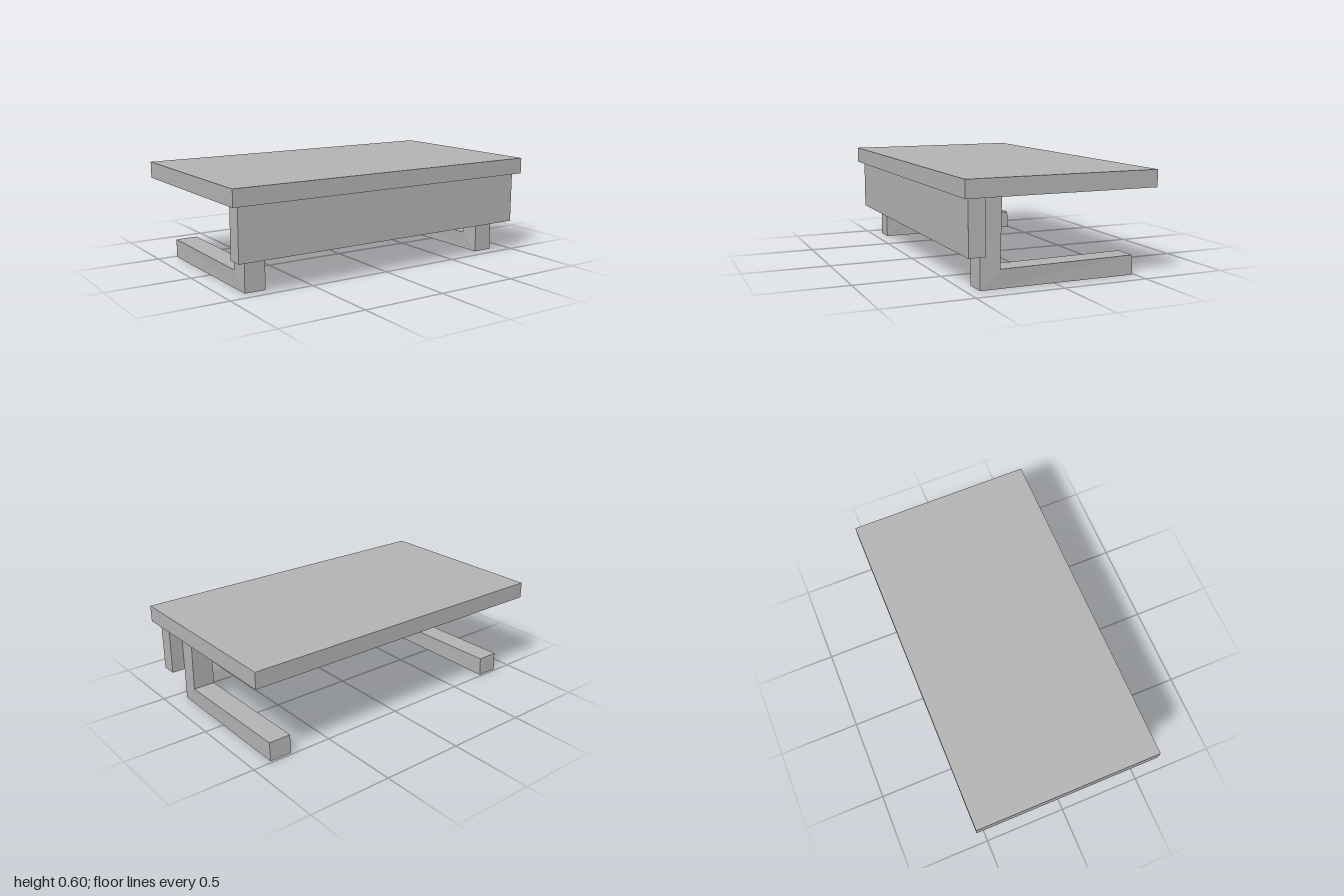
import * as THREE from 'three';

export function createModel() {
  const model = new THREE.Group();
  const grey = new THREE.MeshStandardMaterial({ color: 0xb2b2b2 });
  grey.name = 'plain grey';

  const add = (name, geometry, x, y, z) => {
    const mesh = new THREE.Mesh(geometry, grey);
    mesh.name = name;
    mesh.position.set(x, y, z);
    model.add(mesh);
    return mesh;
  };

  // Flat desk top and the modesty panel hanging below its front edge
  add('deskTop', new THREE.BoxGeometry(2, 0.097, 1.114), 0, 0.5475, 0);
  add('frontPanel', new THREE.BoxGeometry(1.916, 0.306, 0.093), 0, 0.346, 0.477);

  // L-shaped side profile shared by both legs: upright plus long foot
  const profile = new THREE.Shape([
    [0.428, 0], [0.43, 0.5], [0.307, 0.5], [0.315, 0.105], [-0.482, 0.112], [-0.487, 0],
  ].map(([z, y]) => new THREE.Vector2(z, y)));

  // The front face of each leg is slightly narrower than the rest
  const legGeometry = new THREE.ExtrudeGeometry(profile, { depth: 1, bevelEnabled: false });
  legGeometry.translate(0, 0, -0.5);
  const p = legGeometry.attributes.position;
  for (let i = 0; i < p.count; i++) {
    p.setZ(i, Math.sign(p.getZ(i)) * (p.getX(i) > 0.4 ? 0.062 : 0.067));
  }
  legGeometry.rotateY(-Math.PI / 2);
  legGeometry.computeVertexNormals();

  for (const side of [-1, 1]) {
    add(side > 0 ? 'leftLeg' : 'rightLeg', legGeometry, side * 0.817, 0, 0);
  }
  return model;
}
